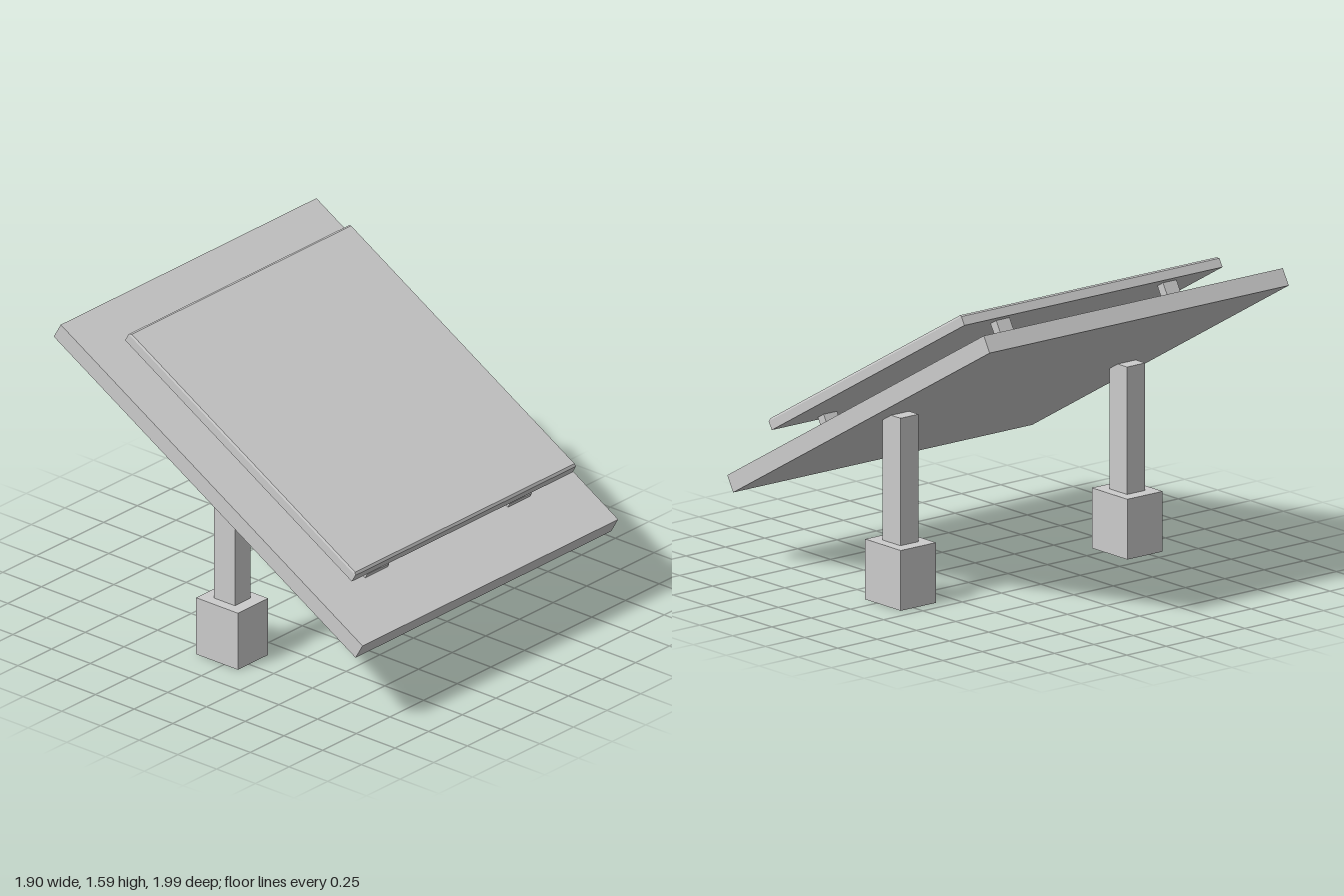
import * as THREE from 'three';

const material = new THREE.MeshStandardMaterial({ color: 0xcccccc, flatShading: true });

function addBox(parent, name, size, position) {
  const mesh = new THREE.Mesh(new THREE.BoxGeometry(...size), material);
  mesh.name = name;
  mesh.position.set(...position);
  parent.add(mesh);
  return mesh;
}

// Slab whose upper edges are chamfered: the middle ring of vertices is raised, the top ring pulled in
function chamferedSlab(w, h, d, chamferX, chamferY, chamferZ) {
  const box = new THREE.BoxGeometry(w, h, d, 1, 2, 1);
  const p = box.attributes.position;
  for (let i = 0; i < p.count; i++) {
    const y = p.getY(i);
    if (Math.abs(y) < 1e-6) {
      p.setY(i, h / 2 - chamferY);
    } else if (y > 0) {
      p.setX(i, p.getX(i) - Math.sign(p.getX(i)) * chamferX);
      p.setZ(i, p.getZ(i) - Math.sign(p.getZ(i)) * chamferZ);
    }
  }
  const geometry = box.toNonIndexed();
  geometry.computeVertexNormals();
  return geometry;
}

export function createModel() {
  const model = new THREE.Group();
  model.name = 'tiltedPanelStand';

  // Tilted assembly: local y is the board normal, local -z runs up the slope
  const tilted = new THREE.Group();
  tilted.name = 'tiltedAssembly';
  tilted.position.y = 0.978;
  tilted.rotation.x = Math.PI / 6;
  model.add(tilted);

  addBox(tilted, 'backBoard', [1.9, 0.09, 2.25], [0, 0, 0]);

  const panel = new THREE.Mesh(chamferedSlab(1.64, 0.056, 1.69, 0.005, 0.01, 0.012), material);
  panel.name = 'frontPanel';
  panel.position.y = 0.193;
  tilted.add(panel);

  // Four stand-off brackets between board and panel
  for (const sx of [-1, 1]) {
    for (const sz of [-1, 1]) {
      const bracket = new THREE.Group();
      bracket.name = 'bracket';
      bracket.position.set(sx * 0.53, 0.045, sz * 0.757);
      addBox(bracket, 'bracketFoot', [0.165, 0.026, 0.098], [0, 0.013, 0]);
      addBox(bracket, 'bracketPost', [0.085, 0.1, 0.05], [0, 0.073, 0]);
      tilted.add(bracket);
    }
  }

  // Two upright legs on block footings
  for (const sx of [-1, 1]) {
    const leg = new THREE.Group();
    leg.name = 'leg';
    leg.position.set(sx * 0.72, 0, -0.045);
    addBox(leg, 'footing', [0.225, 0.305, 0.27], [0, 0.1525, 0]);
    addBox(leg, 'legPost', [0.115, 0.645, 0.135], [0, 0.6275, 0]);
    model.add(leg);
  }

  return model;
}
